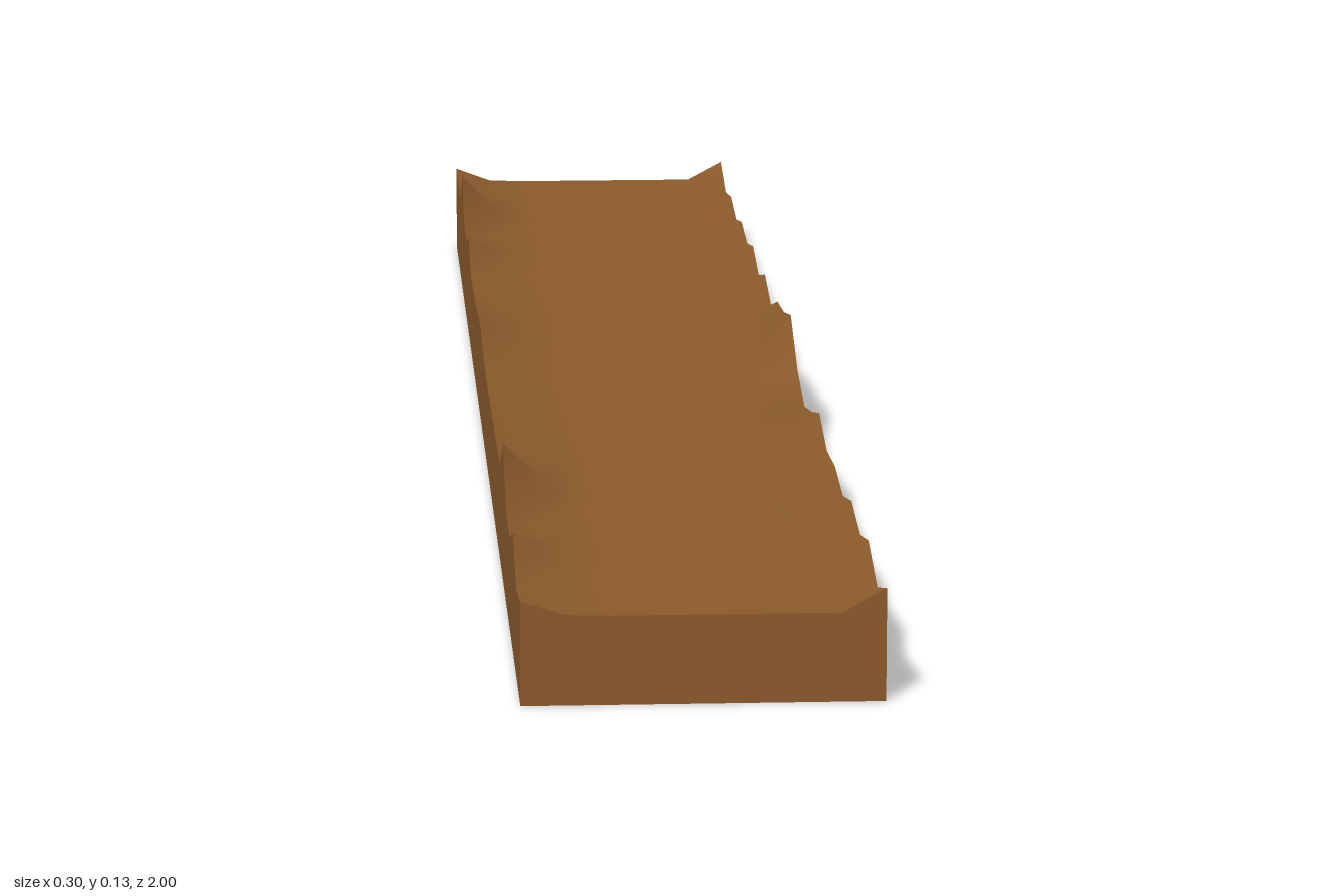
import * as THREE from 'three';

const WIDTH = 0.3, HEIGHT = 0.075, LENGTH = 2, ROWS = 24, COLS = 8;

// Heights of the ragged long edges, from the front end to the back end
const LEFT_EDGE = [
  0.095, 0.075, 0.095, 0.08, 0.09, 0.075, 0.083, 0.078, 0.095, 0.078, 0.065, 0.083, 0.12,
  0.106, 0.1, 0.08, 0.095, 0.078, 0.093, 0.08, 0.088, 0.075, 0.085, 0.075, 0.095,
];
const RIGHT_EDGE = [
  0.088, 0.077, 0.105, 0.082, 0.085, 0.126, 0.088, 0.086, 0.085, 0.085, 0.081, 0.083, 0.085,
  0.095, 0.09, 0.085, 0.082, 0.079, 0.105, 0.085, 0.087, 0.126, 0.087, 0.088, 0.09,
];

export function createModel() {
  const group = new THREE.Group();
  group.name = 'woodenPlank';
  const wood = new THREE.MeshStandardMaterial({ color: 0x8b5a2b });
  wood.name = 'brown wood';

  // Plank body, with the upper surface curling up to its two ragged edges
  const geometry = new THREE.BoxGeometry(WIDTH, HEIGHT, LENGTH, COLS, 1, ROWS);
  geometry.translate(0, HEIGHT / 2, 0);
  const pos = geometry.attributes.position;
  for (let i = 0; i < pos.count; i++) {
    if (pos.getY(i) < HEIGHT / 2) continue;
    const row = Math.round((1 - pos.getZ(i)) / LENGTH * ROWS);
    const col = Math.round((pos.getX(i) / WIDTH + 0.5) * COLS);
    if (col === COLS) pos.setY(i, LEFT_EDGE[row]);
    if (col === 0) pos.setY(i, RIGHT_EDGE[row]);
    // Slight swell just inside the right edge
    if (col === 1) pos.setY(i, HEIGHT + 0.08 * (RIGHT_EDGE[row] - HEIGHT));
  }
  geometry.computeVertexNormals();

  const plank = new THREE.Mesh(geometry, wood);
  plank.name = 'plank';
  group.add(plank);
  return group;
}
